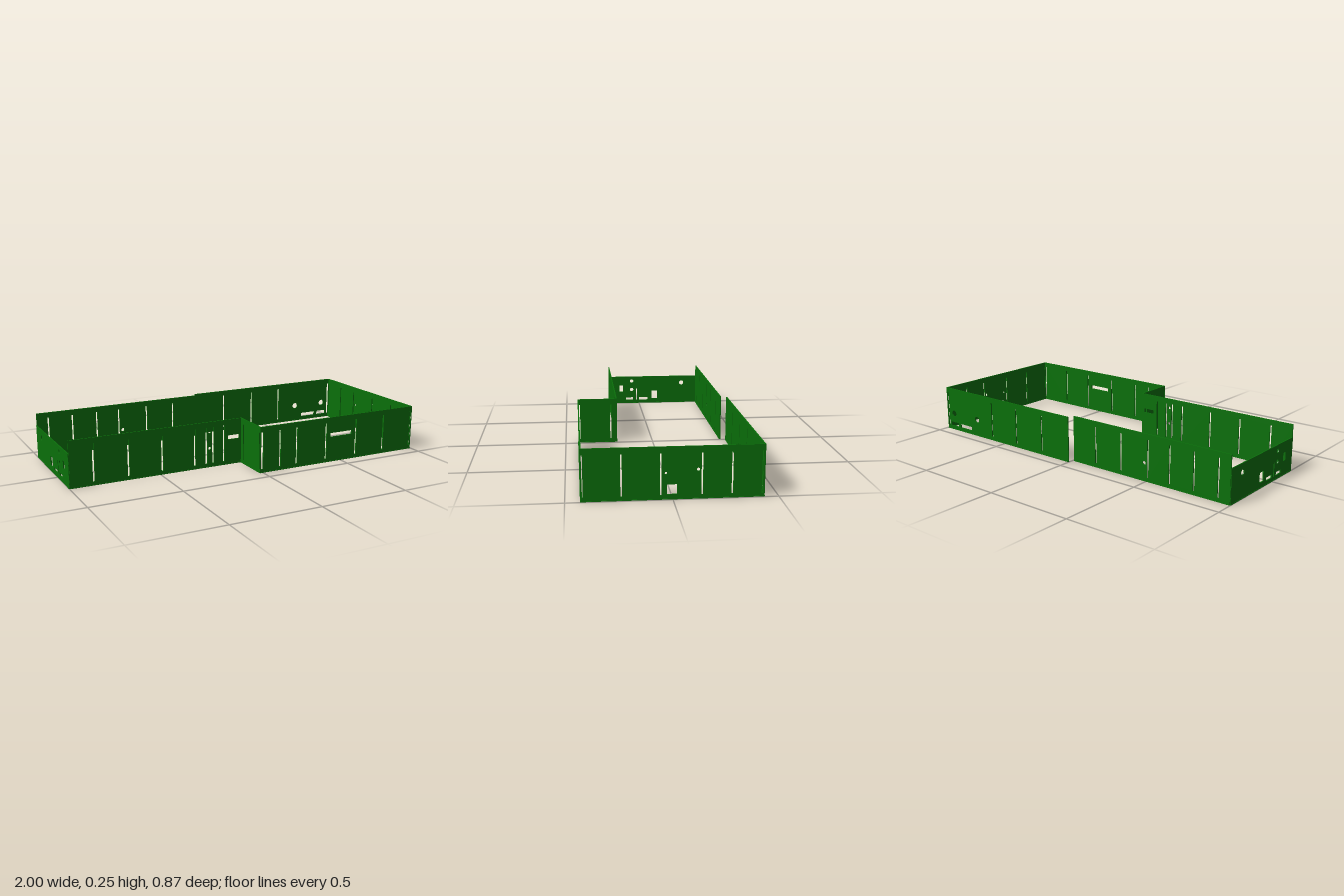
import * as THREE from 'three';

const T = 0.006; // panel thickness
const H = 0.255; // panel height

// Cut-outs, in coordinates along the wall (u) and height (y)
const rect = (u0, u1, y0, y1) => {
  const p = new THREE.Path();
  p.moveTo(u0, y0);
  p.lineTo(u0, y1);
  p.lineTo(u1, y1);
  p.lineTo(u1, y0);
  p.closePath();
  return p;
};
const slots = (list, w = 0.012, top = 0.225) =>
  list.map(u => rect(u - w / 2, u + w / 2, 0.02, top));
const hole = (u, y, r) => {
  const p = new THREE.Path();
  p.absarc(u, y, r, 0, Math.PI * 2, true);
  return p;
};

export function createModel() {
  const model = new THREE.Group();
  model.name = 'panelEnclosure';
  const green = new THREE.MeshStandardMaterial({ color: 0x0a700a });

  // A thin upright panel from u0 to u1, centred on the plane at `pos`
  function wall(name, axis, pos, u0, u1, holes, h = H) {
    const s = new THREE.Shape();
    s.moveTo(u0, 0);
    s.lineTo(u1, 0);
    s.lineTo(u1, h);
    s.lineTo(u0, h);
    s.closePath();
    s.holes.push(...holes);
    const panel = new THREE.ExtrudeGeometry(s, { depth: T, bevelEnabled: false, curveSegments: 10 });
    panel.translate(0, 0, -T / 2);
    // Narrow foot strip under the panel
    const foot = new THREE.BoxGeometry(u1 - u0, 0.004, T + 0.004);
    foot.translate((u0 + u1) / 2, 0.002, 0);
    const group = new THREE.Group();
    group.name = name;
    [['panel', panel], ['foot', foot]].forEach(([part, geo]) => {
      if (axis === 'z') geo.rotateY(-Math.PI / 2).translate(pos, 0, 0);
      else geo.translate(0, 0, pos);
      const mesh = new THREE.Mesh(geo, green);
      mesh.name = part;
      group.add(mesh);
    });
    model.add(group);
  }

  // Front walls, either side of the step
  wall('frontWallLeft', 'x', 0.425, -0.018, 0.995, [
    ...slots([-0.006, 0.985], 0.014),
    ...slots([0.105, 0.21, 0.4, 0.6, 0.79], 0.009),
    rect(0.43, 0.57, 0.143, 0.165),
  ]);
  wall('frontWallRight', 'x', 0.207, -0.997, -0.013, [
    ...slots([-0.87, -0.68, -0.49, -0.3, -0.23, -0.19, -0.125], 0.01),
    hole(-0.21, 0.2, 0.008),
    hole(-0.21, 0.107, 0.008),
    rect(-0.098, -0.03, 0.142, 0.165),
  ]);
  wall('stepWall', 'z', -0.015, 0.207, 0.428, slots([0.24, 0.419], 0.008, 0.223));

  // Back walls, slightly offset with a gap between them
  wall('backWallLeft', 'x', -0.43, 0.002, 0.995, [
    ...slots([0.2, 0.4, 0.6], 0.009),
    ...slots([0.985], 0.014),
    hole(0.73, 0.1, 0.018),
    hole(0.935, 0.1, 0.018),
    rect(0.78, 0.88, 0.022, 0.045),
    rect(0.9, 0.965, 0.022, 0.045),
  ]);
  wall('backWallRight', 'x', -0.397, -0.997, -0.01, [
    ...slots([-0.93, -0.79, -0.645, -0.51, -0.335, -0.165], 0.009),
    hole(-0.487, 0.098, 0.01),
  ]);

  // Tall end wall
  wall('leftEndWall', 'z', 0.992, -0.43, 0.428, [
    ...slots([-0.422, -0.279, -0.137, 0.057, 0.24, 0.421], 0.008, 0.223),
    hole(0.033, 0.128, 0.006),
    hole(-0.118, 0.142, 0.008),
    rect(-0.02, 0.028, 0.025, 0.073),
  ]);

  // Lower end wall with service openings
  wall('rightEndWall', 'z', -0.997, -0.397, 0.207, [
    rect(0.012, 0.02, 0.022, 0.1),
    rect(0.04, 0.09, 0.022, 0.04),
    rect(-0.06, -0.002, 0.022, 0.04),
    rect(-0.128, -0.088, 0.03, 0.085),
    rect(0.11, 0.135, 0.08, 0.125),
    hole(-0.296, 0.138, 0.015),
    hole(0.05, 0.154, 0.012),
    hole(0.05, 0.095, 0.012),
  ], 0.186);

  return model;
}
